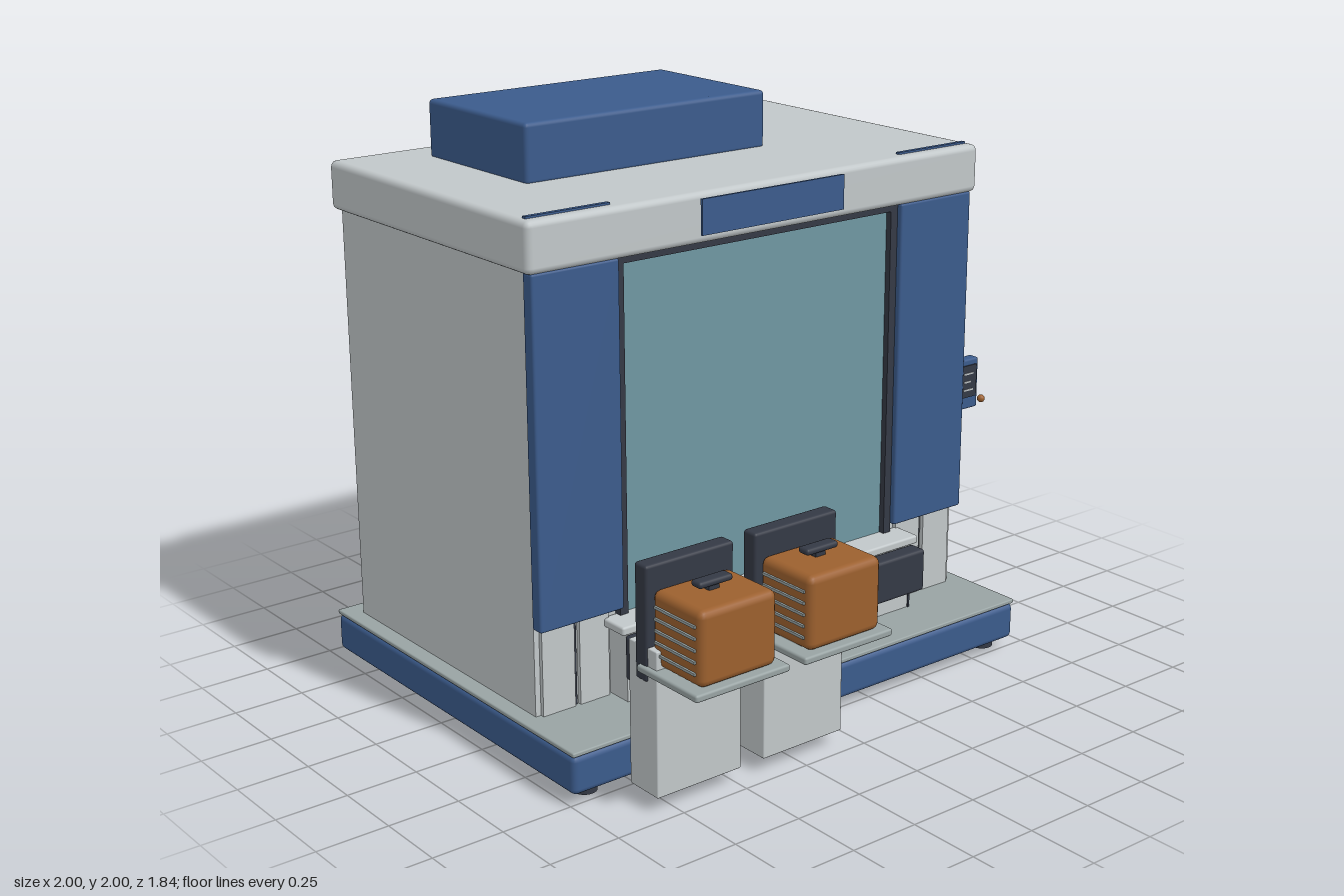
import * as THREE from 'three';
import { RoundedBoxGeometry } from 'three/addons/geometries/RoundedBoxGeometry.js';

const paint = (name, color) => {
  const m = new THREE.MeshStandardMaterial({ color });
  m.name = name;
  return m;
};

export function createModel() {
  const model = new THREE.Group();
  model.name = 'processCabinet';
  const blue = paint('blue', 0x3b5b8c), light = paint('lightGrey', 0xc1c7c9);
  const grey = paint('plateGrey', 0x98a3a3), dark = paint('charcoal', 0x343945);
  const glass = paint('glassTeal', 0x6f97a2), orange = paint('orange', 0x9c602e);
  const MID = -0.033; // cabinet centre line

  const add = (parent, name, geometry, material) => {
    const mesh = new THREE.Mesh(geometry, material);
    mesh.name = name;
    parent.add(mesh);
    return mesh;
  };
  // Box from its limits; r > 0 rounds the edges
  const box = (parent, name, mat, [x0, x1], [y0, y1], [z0, z1], r = 0) => {
    const s = [x1 - x0, y1 - y0, z1 - z0];
    const g = r ? new RoundedBoxGeometry(...s, 2, r) : new THREE.BoxGeometry(...s);
    const mesh = add(parent, name, g, mat);
    mesh.position.set((x0 + x1) / 2, (y0 + y1) / 2, (z0 + z1) / 2);
    return mesh;
  };
  // Pair of boxes mirrored about the cabinet centre, x given as distance from it
  const pair = (parent, name, mat, [a, b], y, z, r) => {
    box(parent, name + 'Left', mat, [MID + a, MID + b], y, z, r);
    box(parent, name + 'Right', mat, [MID - b, MID - a], y, z, r);
  };
  const cylinder = (parent, name, mat, r, y0, y1, x, z) => {
    const mesh = add(parent, name, new THREE.CylinderGeometry(r, r, y1 - y0, 40), mat);
    mesh.position.set(x, (y0 + y1) / 2, z);
    return mesh;
  };
  const group = (name) => {
    const g = new THREE.Group();
    g.name = name;
    model.add(g);
    return g;
  };

  // Base with underside plates and feet
  const base = group('base');
  box(base, 'plinth', blue, [-1, 0.932], [0.04, 0.172], [-0.92, 0.52], 0.02);
  box(base, 'deck', grey, [-1, 0.932], [0.172, 0.188], [-0.92, 0.52], 0.005);
  box(base, 'undersidePan', dark, [-0.95, 0.88], [0.027, 0.045], [-0.84, 0.24]);
  box(base, 'serviceCover', light, [-0.65, 0.58], [0.014, 0.03], [-0.5, 0.34]);
  for (const x of [-0.91, 0.845]) for (const z of [-0.85, 0.45]) {
    cylinder(base, 'foot', dark, 0.04, 0.012, 0.045, x, z);
  }
  for (const x of [-0.54, 0.47]) for (const z of [-0.4, 0.22]) {
    cylinder(base, 'coverBolt', dark, 0.025, 0, 0.016, x, z);
  }

  // Cabinet sides, doors and glazing
  const cabinet = group('cabinet');
  pair(cabinet, 'sideBay', light, [0.59, 0.91], [0.188, 1.65], [-0.84, 0.235]);
  pair(cabinet, 'rearTrim', light, [0.7, 0.895], [0.188, 1.65], [-0.85, -0.83]);
  pair(cabinet, 'door', blue, [0.59, 0.915], [0.49, 1.645], [0.235, 0.283], 0.008);
  pair(cabinet, 'doorTopStrip', blue, [0.6, 0.91], [1.8, 1.815], [0.236, 0.252]);
  pair(cabinet, 'lowerPanelInner', light, [0.63, 0.745], [0.188, 0.49], [0.23, 0.25]);
  pair(cabinet, 'lowerPanelOuter', light, [0.765, 0.89], [0.188, 0.49], [0.23, 0.25]);
  pair(cabinet, 'lowerPanelGap', dark, [0.752, 0.758], [0.188, 0.49], [0.233, 0.24]);
  box(cabinet, 'frontGlass', glass, [-0.61, 0.545], [0.44, 1.635], [0.22, 0.24]);
  pair(cabinet, 'sideGlass', glass, [0.582, 0.592], [0.41, 1.61], [-0.7, 0.22]);
  pair(cabinet, 'frontFramePost', dark, [0.56, 0.592], [0.45, 1.64], [0.235, 0.262]);
  box(cabinet, 'frontFrameTop', dark, [-0.62, 0.555], [1.62, 1.64], [0.235, 0.262]);
  pair(cabinet, 'rearFramePost', dark, [0.565, 0.592], [0.38, 1.64], [-0.72, -0.69]);
  for (const y of [0.38, 1.6]) {
    box(cabinet, 'rearFrameRail', dark, [-0.625, 0.56], [y, y + 0.035], [-0.72, -0.69]);
  }
  box(cabinet, 'rearLowerPanel', light, [-0.63, 0.56], [0.188, 0.39], [-0.66, -0.64]);

  // Roof, top unit and front sign plate
  const roof = group('roof');
  box(roof, 'roofCap', light, [-0.965, 0.905], [1.642, 1.808], [-0.875, 0.29], 0.022);
  box(roof, 'filterUnit', blue, [-0.665, 0.315], [1.8, 2], [-0.725, -0.15], 0.015);
  box(roof, 'signPlate', blue, [-0.325, 0.265], [1.675, 1.792], [0.305, 0.314]);

  // Loading ledge below the glass
  const ledge = group('loadingLedge');
  box(ledge, 'ledgeBody', light, [-0.65, 0.595], [0.188, 0.435], [0.23, 0.33]);
  box(ledge, 'ledgeTop', light, [-0.68, 0.612], [0.43, 0.46], [0.235, 0.35], 0.008);
  box(ledge, 'ledgeBumper', dark, [-0.66, 0.602], [0.27, 0.425], [0.33, 0.398], 0.012);
  box(ledge, 'ledgeSlot', dark, [0.13, 0.43], [0.197, 0.205], [0.326, 0.334]);
  for (const x of [-0.02, 0.585]) {
    box(ledge, 'ledgeSeam', dark, [x, x + 0.008], [0.188, 0.27], [0.326, 0.334]);
  }

  // Operator terminal on the left side
  const terminal = group('terminal');
  box(terminal, 'terminalCase', blue, [0.872, 0.965], [0.845, 1.03], [0.228, 0.27], 0.008);
  box(terminal, 'terminalScreen', dark, [0.878, 0.952], [0.89, 1.008], [0.268, 0.275]);
  [0.975, 0.945, 0.915].forEach((y, i) => {
    box(terminal, 'screenLine', light, [0.89, 0.935 - 0.012 * (i % 2)], [y, y + 0.006], [0.274, 0.277]);
  });
  const knob = add(terminal, 'terminalKnob', new THREE.SphereGeometry(0.014, 16, 12), orange);
  knob.position.set(0.986, 0.87, 0.268);

  // Two load ports, each with a carrier
  for (const cx of [-0.652, -0.228]) {
    const port = group('loadPort');
    const span = (h) => [cx - h, cx + h];
    box(port, 'pedestal', light, span(0.165), [0.05, 0.54], [0.565, 0.705], 0.004);
    box(port, 'shelf', grey, span(0.182), [0.455, 0.48], [0.625, 0.92], 0.008);
    box(port, 'backPlate', dark, span(0.17), [0.425, 0.805], [0.603, 0.663], 0.01);
    box(port, 'carrier', orange, span(0.148), [0.48, 0.727], [0.66, 0.9], 0.025);
    box(port, 'carrierHandle', dark, span(0.065), [0.743, 0.765], [0.743, 0.79], 0.01);
    box(port, 'handleStem', dark, span(0.02), [0.72, 0.75], [0.755, 0.778]);
    for (const side of [-1, 1]) {
      const x = cx + side * 0.149;
      for (let i = 0; i < 5; i++) {
        const y = 0.52 + i * 0.038;
        box(port, 'carrierRib', grey, [x - 0.006, x + 0.006], [y, y + 0.009], [0.68, 0.875]);
      }
    }
  }

  // Machine inside: table, stage, gantry, lens column and vent tray
  const machine = group('machine');
  box(machine, 'table', light, [-0.55, 0.48], [0.42, 0.5], [-0.6, 0.12], 0.012);
  box(machine, 'tableBase', grey, [-0.46, 0.39], [0.188, 0.42], [-0.5, 0.05]);
  box(machine, 'stage', dark, [-0.38, 0.32], [0.5, 0.55], [-0.52, 0.1], 0.01);
  cylinder(machine, 'chuckRim', grey, 0.235, 0.55, 0.566, MID, -0.2);
  cylinder(machine, 'chuck', dark, 0.215, 0.56, 0.572, MID, -0.2);
  box(machine, 'gantryBeam', light, [-0.5, 0.43], [1.1, 1.18], [-0.45, -0.2], 0.012);
  pair(machine, 'gantryLeg', light, [0.36, 0.43], [0.5, 1.1], [-0.4, -0.28], 0.006);
  cylinder(machine, 'lensCore', grey, 0.115, 0.8, 1.1, MID, -0.29);
  for (let i = 0; i < 5; i++) {
    const y = 0.8 + i * 0.055;
    cylinder(machine, 'lensRing', dark, 0.13 + 0.005 * i, y, y + 0.036, MID, -0.29);
  }
  cylinder(machine, 'lensTip', dark, 0.08, 0.74, 0.8, MID, -0.29);
  box(machine, 'ventTray', grey, [-0.4, 0.335], [1.25, 1.275], [-0.38, 0.02], 0.005);
  for (let i = 0; i < 10; i++) {
    const x = -0.355 + i * 0.068;
    box(machine, 'ventSlot', glass, [x, x + 0.034], [1.272, 1.279], [-0.34, -0.02]);
  }
  for (const x of [-0.34, 0.28]) for (const z of [-0.36, -0.22]) {
    cylinder(machine, 'trayPost', grey, 0.014, 1.17, 1.255, x, z);
  }
  box(machine, 'sensorBox', dark, [0.31, 0.38], [0.5, 0.62], [-0.05, 0.02], 0.006);
  const path = new THREE.CatmullRomCurve3([
    new THREE.Vector3(0.42, 1.12, -0.42), new THREE.Vector3(0.47, 1.04, -0.45),
    new THREE.Vector3(0.49, 0.85, -0.45), new THREE.Vector3(0.46, 0.66, -0.45),
    new THREE.Vector3(0.44, 0.49, -0.46),
  ]);
  add(machine, 'cable', new THREE.TubeGeometry(path, 24, 0.009, 8), dark);

  return model;
}
